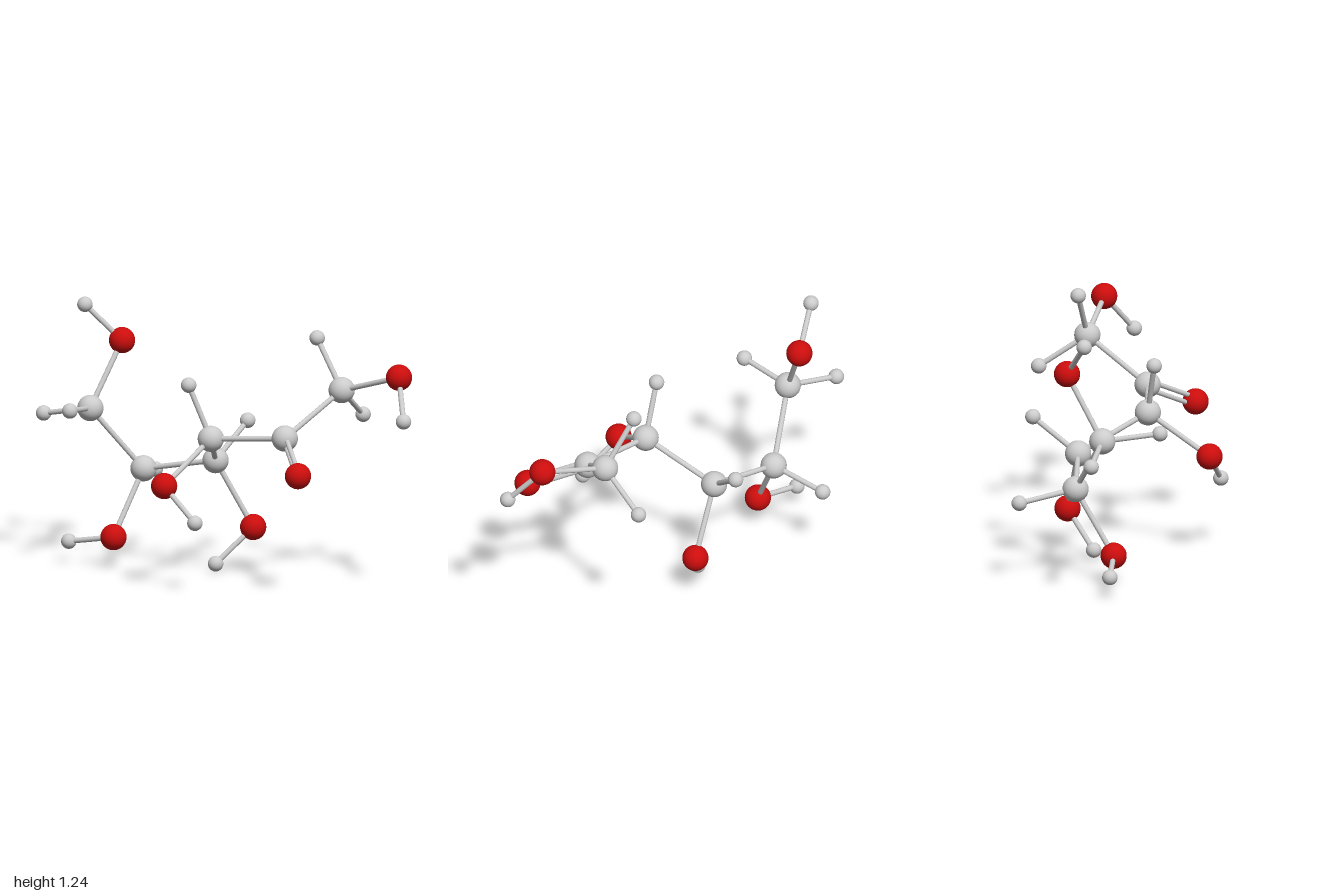
import * as THREE from 'three';

const grey = new THREE.MeshStandardMaterial({ color: 0xcccccc });
const red = new THREE.MeshStandardMaterial({ color: 0xcc0d0d });

// Ball types: radius and material
const kinds = {
  carbon: { radius: 0.061, material: grey },
  oxygen: { radius: 0.061, material: red },
  hydrogen: { radius: 0.036, material: grey },
};

// Each atom: [kind, position, index of the atom it is bonded to, double bond]
const atoms = [
  // carbon backbone, 0 to 5
  ['carbon', [0.553, 0.902, -0.112]],
  ['carbon', [0.378, 0.707, 0.159], 0],
  ['carbon', [0, 0.677, 0.14], 1],
  ['carbon', [-0.11, 0.514, -0.19], 2],
  ['carbon', [-0.484, 0.445, -0.222], 3],
  ['carbon', [-0.704, 0.733, -0.109], 4],
  // oxygens, 6 to 11
  ['oxygen', [0.879, 0.999, -0.016], 0],
  ['oxygen', [0.538, 0.579, 0.39], 1, true],
  ['oxygen', [-0.12, 0.493, 0.42], 2],
  ['oxygen', [0.062, 0.204, -0.23], 3],
  ['oxygen', [-0.564, 0.144, -0.049], 4],
  ['oxygen', [-0.61, 1.033, -0.268], 5],
  // hydrogens on the carbons
  ['hydrogen', [0.41, 1.13, -0.162], 0],
  ['hydrogen', [0.569, 0.752, -0.337], 0],
  ['hydrogen', [-0.101, 0.927, 0.164], 2],
  ['hydrogen', [-0.033, 0.673, -0.396], 3],
  ['hydrogen', [-0.532, 0.394, -0.486], 4],
  ['hydrogen', [-0.965, 0.681, -0.175], 5],
  ['hydrogen', [-0.698, 0.764, 0.159], 5],
  // hydrogens on the oxygens
  ['hydrogen', [0.96, 0.82, 0.128], 6],
  ['hydrogen', [0.059, 0.34, 0.482], 8],
  ['hydrogen', [-0.08, 0.04, -0.116], 9],
  ['hydrogen', [-0.8, 0.104, -0.079], 10],
  ['hydrogen', [-0.767, 1.203, -0.197], 11],
];

const UP = new THREE.Vector3(0, 1, 0);

// Thin rod between two points
function rod(a, b, radius, name) {
  const dir = b.clone().sub(a);
  const mesh = new THREE.Mesh(
    new THREE.CylinderGeometry(radius, radius, dir.length(), 16), grey);
  mesh.position.copy(a).add(b).multiplyScalar(0.5);
  mesh.quaternion.setFromUnitVectors(UP, dir.normalize());
  mesh.name = name;
  return mesh;
}

// Two parallel rods, spread in the vertical plane of the bond
function doubleRod(a, b) {
  const group = new THREE.Group();
  group.name = 'doubleBond';
  const dir = b.clone().sub(a).normalize();
  const spread = UP.clone().addScaledVector(dir, -dir.y).normalize();
  for (const side of [-1, 1]) {
    const shift = spread.clone().multiplyScalar(side * 0.018);
    group.add(rod(a.clone().add(shift), b.clone().add(shift), 0.0115, 'doubleBondRod'));
  }
  return group;
}

export function createModel() {
  const model = new THREE.Group();
  model.name = 'moleculeModel';
  const points = atoms.map(([, p]) => new THREE.Vector3(...p));

  // One shared ball geometry per kind
  const balls = {};
  for (const kind in kinds) {
    balls[kind] = new THREE.SphereGeometry(kinds[kind].radius, 32, 20);
  }

  atoms.forEach(([kind, , parent, isDouble], i) => {
    const ball = new THREE.Mesh(balls[kind], kinds[kind].material);
    ball.position.copy(points[i]);
    ball.name = kind + 'Ball';
    model.add(ball);
    if (parent === undefined) return;
    model.add(isDouble
      ? doubleRod(points[parent], points[i])
      : rod(points[parent], points[i], 0.0125, 'bond'));
  });
  return model;
}
